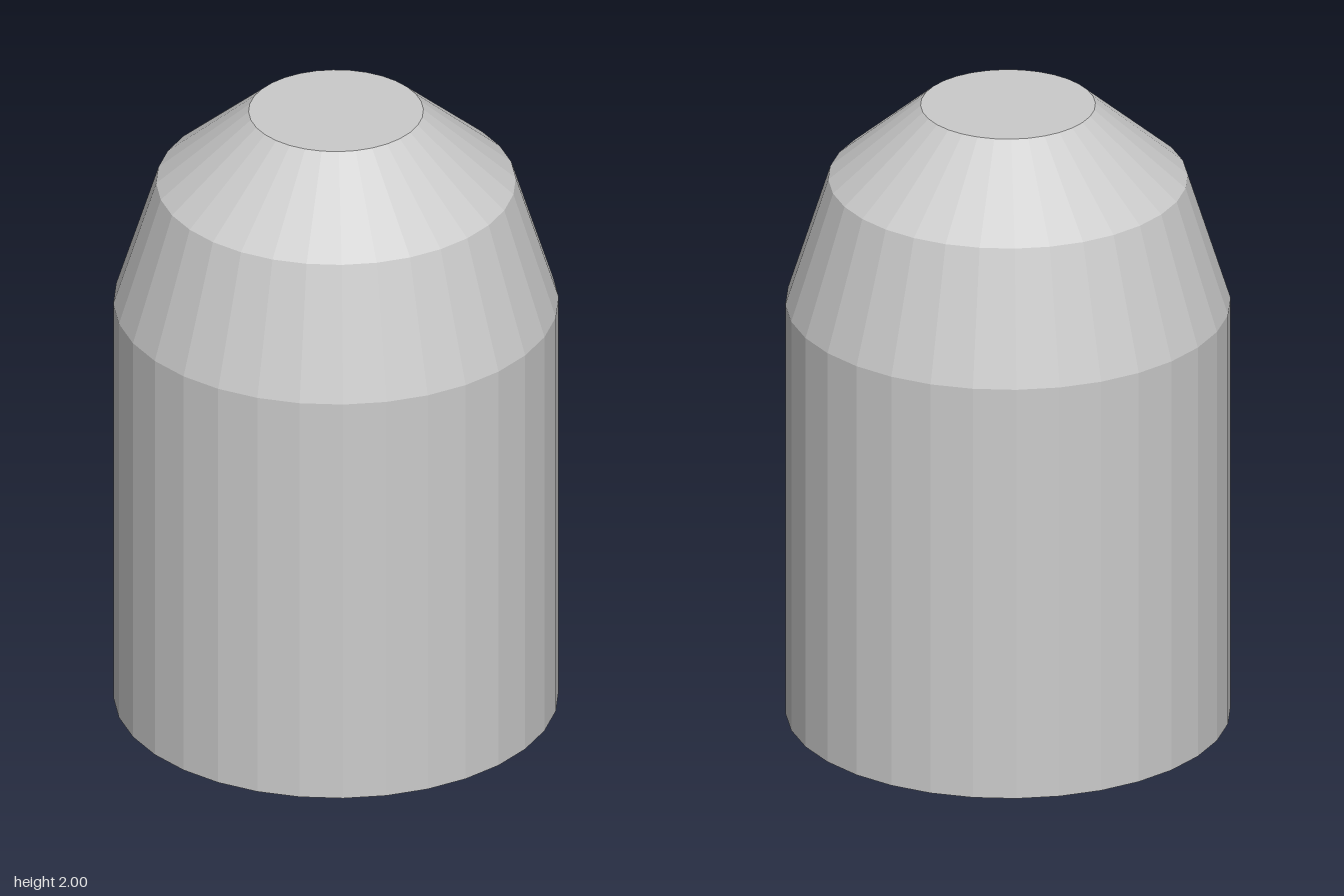
import * as THREE from 'three';

const SIDES = 32;

export function createModel() {
  const group = new THREE.Group();
  group.name = 'bluntNosedCylinder';
  const material = new THREE.MeshStandardMaterial({ color: 0xcccccc, flatShading: true });

  // Stacked sections: name, bottom radius, top radius, bottom y, top y
  const sections = [
    ['body', 0.675, 0.675, 0, 1.35],
    ['shoulder', 0.675, 0.545, 1.35, 1.76],
    ['nose', 0.545, 0.265, 1.76, 2],
  ];
  for (const [name, r0, r1, y0, y1] of sections) {
    const geometry = new THREE.CylinderGeometry(r1, r0, y1 - y0, SIDES, 1, true);
    geometry.translate(0, (y0 + y1) / 2, 0);
    const mesh = new THREE.Mesh(geometry, material);
    mesh.name = name;
    group.add(mesh);
  }

  // Flat end discs
  for (const [name, radius, y, tilt] of [
    ['base', 0.675, 0, Math.PI / 2],
    ['tip', 0.265, 2, -Math.PI / 2],
  ]) {
    const disc = new THREE.Mesh(new THREE.CircleGeometry(radius, SIDES), material);
    disc.name = name;
    disc.rotation.x = tilt;
    disc.position.y = y;
    group.add(disc);
  }
  return group;
}
